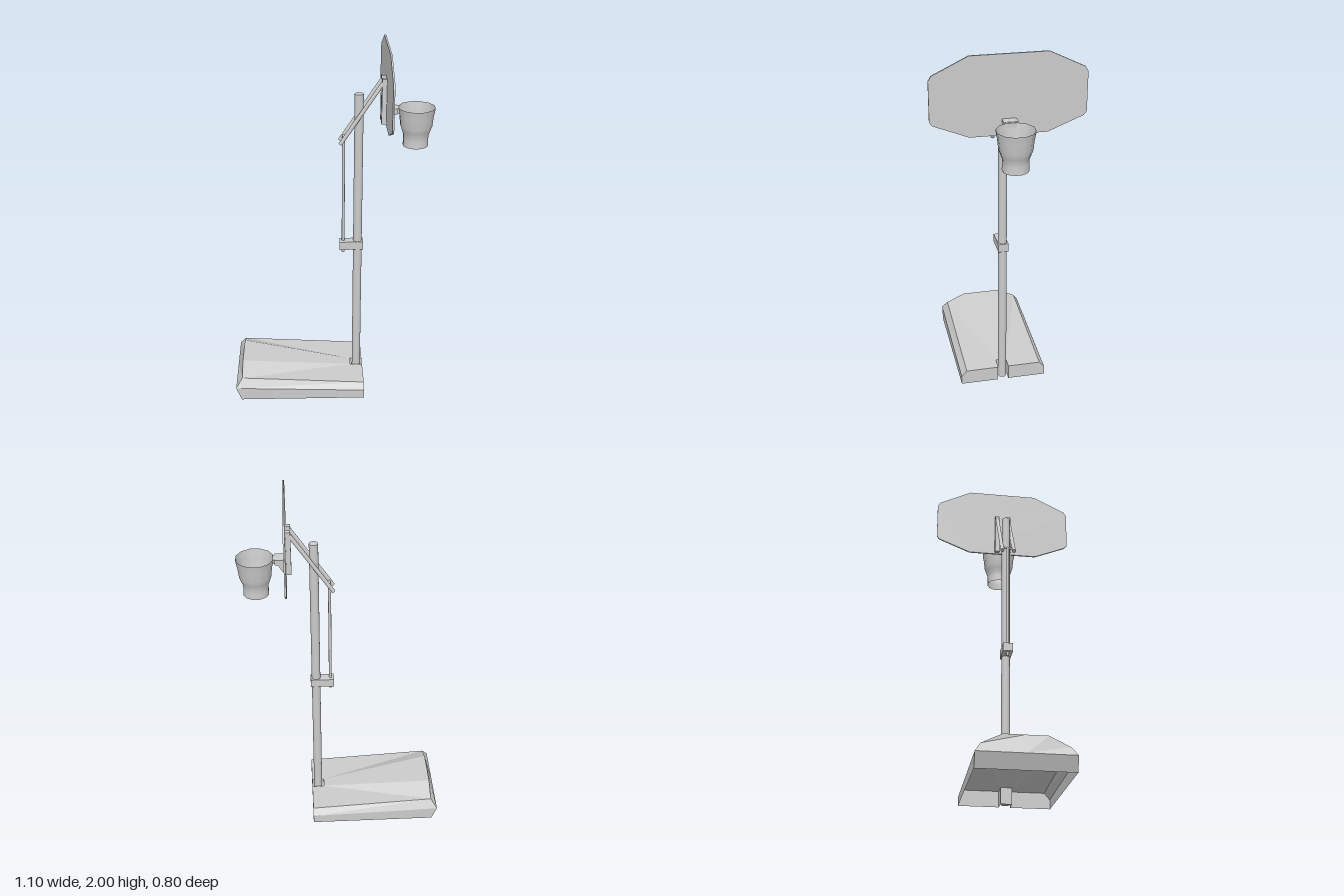
import * as THREE from 'three';

const smooth = () => new THREE.MeshStandardMaterial({ color: 0xcccccc });
const flat = () => new THREE.MeshStandardMaterial({ color: 0xcccccc, flatShading: true, side: THREE.DoubleSide });

export function createModel() {
  const model = new THREE.Group();
  model.name = 'basketballHoop';

  const add = (name, geometry, material = smooth()) => {
    const mesh = new THREE.Mesh(geometry, material);
    mesh.name = name;
    model.add(mesh);
    return mesh;
  };
  const box = (name, x0, x1, y0, y1, z0, z1) =>
    add(name, new THREE.BoxGeometry(x1 - x0, y1 - y0, z1 - z0))
      .position.set((x0 + x1) / 2, (y0 + y1) / 2, (z0 + z1) / 2);
  const rod = (name, a, b, radius, sides = 12) => {
    const from = new THREE.Vector3(...a), to = new THREE.Vector3(...b);
    const dir = to.clone().sub(from);
    const mesh = add(name, new THREE.CylinderGeometry(radius, radius, dir.length(), sides));
    mesh.position.copy(from).add(to).multiplyScalar(0.5);
    mesh.quaternion.setFromUnitVectors(new THREE.Vector3(0, 1, 0), dir.normalize());
  };

  // Ballast base: an open-bottomed shell, half of it mirrored over z
  const P = {
    B0: [-0.52, 0, 0.245], B1: [-0.55, 0.075, 0.245], B2: [-0.515, 0.125, 0.215], B3: [-0.515, 0.175, 0.11],
    C0: [-0.52, 0, 0], C1: [-0.55, 0.075, 0], C3: [-0.515, 0.175, 0],
    F0: [0.18, 0, 0.245], F1: [0.18, 0.05, 0.245], F2: [0.18, 0.085, 0.215],
    N0: [0.18, 0, 0.03], N2: [0.18, 0.085, 0.03],
    S: [0.11, 0.088, 0.03], CS: [0.11, 0.088, 0], I0: [0.11, 0, 0.03], CI: [0.11, 0, 0],
  };
  const faces = [
    'B0 F0 F1 B1', 'B1 F1 F2 B2',               // side wall and bevel
    'B2 F2 S', 'B2 S B3', 'F2 N2 S', 'C3 B3 S CS', // top
    'C0 B0 B1 C1', 'C1 B1 B2 B3 C3',            // back
    'F0 N0 N2 F2 F1', 'N0 I0 S N2', 'I0 CI CS S', // front and pole slot
  ];
  const verts = [];
  for (const side of [1, -1]) {
    for (const face of faces) {
      const pts = face.split(' ').map((k) => [P[k][0], P[k][1], P[k][2] * side]);
      if (side < 0) pts.reverse();
      for (let i = 1; i < pts.length - 1; i++) verts.push(...pts[0], ...pts[i], ...pts[i + 1]);
    }
  }
  const baseGeo = new THREE.BufferGeometry();
  baseGeo.setAttribute('position', new THREE.Float32BufferAttribute(verts, 3));
  baseGeo.computeVertexNormals();
  add('base', baseGeo, flat());

  // Pole with height adjuster
  rod('pole', [0.145, 0.005, 0], [0.145, 1.74, 0], 0.024, 16);
  box('adjusterBracket', 0.045, 0.175, 0.843, 0.89, -0.028, 0.028);
  rod('adjusterRod', [0.065, 0.82, 0], [0.065, 1.505, 0], 0.008);
  rod('adjusterPin', [0.065, 1.5, -0.035], [0.065, 1.5, 0.035], 0.007);
  rod('polePin', [0.145, 1.622, -0.04], [0.145, 1.622, 0.04], 0.007);

  // Twin arms and the uprights they hold
  for (const z of [-0.034, 0.034]) {
    rod('arm', [0.046, 1.472, z], [0.276, 1.822, z], 0.011);
    box('boardUpright', 0.261, 0.287, 1.587, 1.83, z - 0.013, z + 0.013);
  }

  // Backboard: clipped rectangle, extruded along x
  const corner = [[0.2, 2], [0.385, 1.91], [0.4, 1.885], [0.4, 1.675], [0.385, 1.655], [0.2, 1.58]];
  const outline = [...corner, ...corner.map(([u, v]) => [-u, v]).reverse()];
  const boardGeo = new THREE.ExtrudeGeometry(
    new THREE.Shape(outline.map(([u, v]) => new THREE.Vector2(u, v))),
    { depth: 0.009, bevelEnabled: false });
  boardGeo.rotateY(Math.PI / 2);
  add('backboard', boardGeo).position.x = 0.286;

  // Rim bracket: plate with sloped brace, then a short neck
  const brace = [[0.293, 1.6], [0.308, 1.602], [0.328, 1.637], [0.345, 1.637], [0.345, 1.667], [0.293, 1.667]];
  const braceGeo = new THREE.ExtrudeGeometry(
    new THREE.Shape(brace.map(([u, v]) => new THREE.Vector2(u, v))),
    { depth: 0.074, bevelEnabled: false });
  add('rimBracket', braceGeo).position.z = -0.037;
  box('rimNeck', 0.343, 0.356, 1.64, 1.665, -0.026, 0.026);

  // Twelve-sided net, open at both ends
  const profile = [[0.069, 1.453], [0.067, 1.49], [0.068, 1.515], [0.077, 1.538], [0.086, 1.565],
    [0.092, 1.62], [0.097, 1.645], [0.1, 1.665]];
  const netGeo = new THREE.LatheGeometry(profile.map(([r, y]) => new THREE.Vector2(r, y)), 12, Math.PI / 12);
  const netMaterial = smooth();
  netMaterial.side = THREE.DoubleSide;
  add('net', netGeo, netMaterial).position.x = 0.449;

  return model;
}
